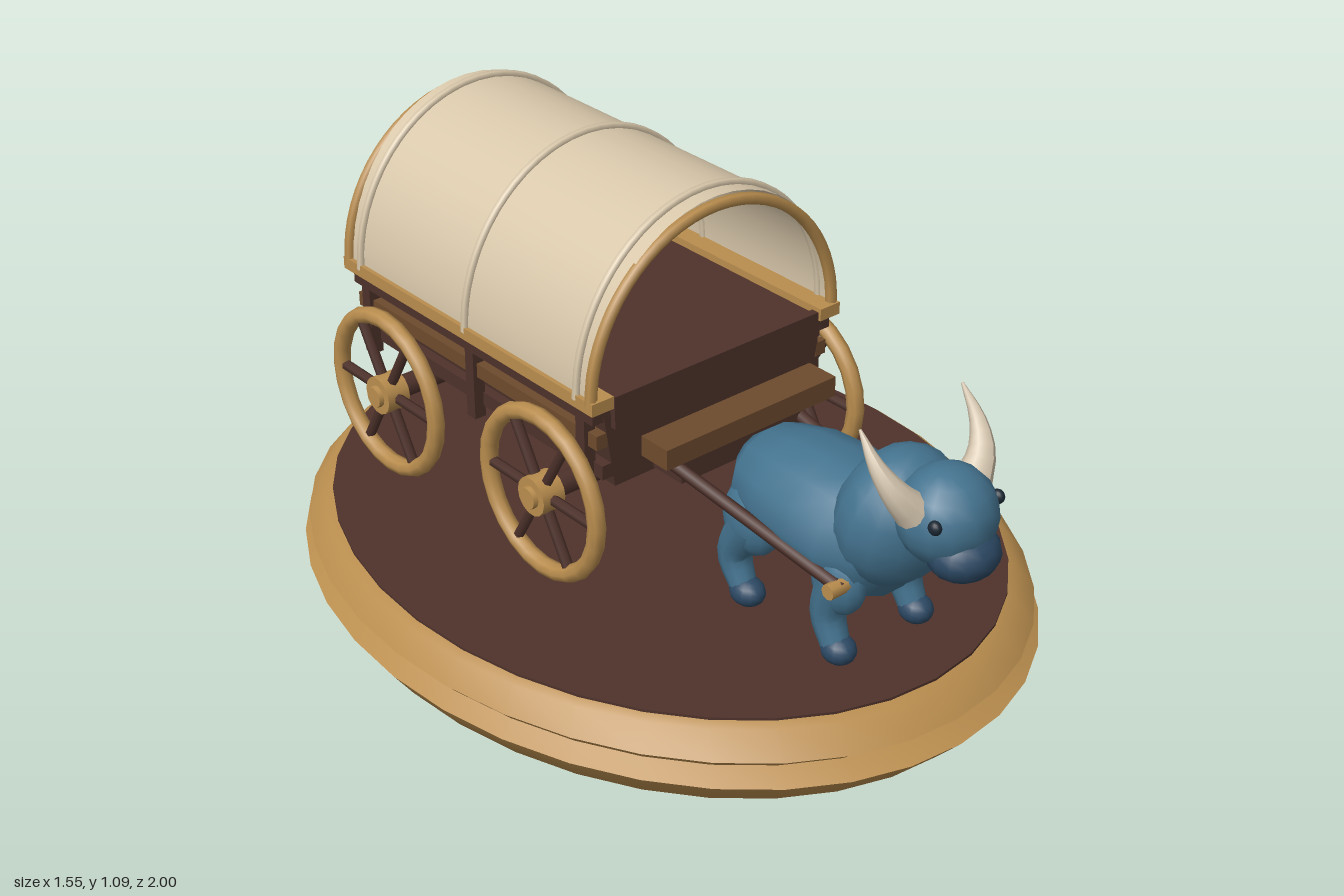
import * as THREE from 'three';
import { toCreasedNormals } from 'three/addons/utils/BufferGeometryUtils.js';

const V = (x, y, z) => new THREE.Vector3(x, y, z);

export function createModel() {
  const root = new THREE.Group();
  root.name = 'oxWagon';
  const mat = (name, color, side = THREE.FrontSide) => {
    const m = new THREE.MeshStandardMaterial({ color, side });
    m.name = name;
    return m;
  };
  const gold = mat('goldenWood', 0xb98d4e);
  const dark = mat('darkWood', 0x4e322b);
  const mid = mat('midWood', 0x6e4b2d);
  const cloth = mat('canvas', 0xd8c7aa, THREE.DoubleSide);
  const horn = mat('horn', 0xd4c5ae);
  const blue = mat('blueHide', 0x44738f);
  const navy = mat('darkBlue', 0x2c4964);
  const black = mat('eyeDark', 0x1b2733);

  const add = (name, geo, m, parent = root) => {
    const mesh = new THREE.Mesh(geo, m);
    mesh.name = name;
    parent.add(mesh);
    return mesh;
  };
  const box = (name, m, w, h, d, x, y, z, parent) =>
    add(name, new THREE.BoxGeometry(w, h, d).translate(x, y, z), m, parent);
  const ball = (name, m, rx, ry, rz, x, y, z, parent, tilt = 0) =>
    add(name, new THREE.SphereGeometry(1, 14, 10).scale(rx, ry, rz).rotateX(tilt).translate(x, y, z), m, parent);
  // straight round bar from a to b
  const rod = (name, m, a, b, r, parent, r2 = r, sides = 10) => {
    const dir = b.clone().sub(a);
    const geo = new THREE.CylinderGeometry(r2, r, dir.length(), sides);
    geo.applyQuaternion(new THREE.Quaternion().setFromUnitVectors(V(0, 1, 0), dir.normalize()));
    const c = a.clone().add(b).multiplyScalar(0.5);
    return add(name, geo.translate(c.x, c.y, c.z), m, parent);
  };
  // curved limb whose radius runs from r0 to r1
  const limb = (name, m, points, r0, r1, parent) => {
    const curve = new THREE.CatmullRomCurve3(points), n = 8, sides = 10;
    const geo = new THREE.TubeGeometry(curve, n, 1, sides);
    const p = geo.attributes.position, v = V(0, 0, 0);
    for (let i = 0; i < p.count; i++) {
      const t = Math.floor(i / (sides + 1)) / n, c = curve.getPointAt(t);
      v.fromBufferAttribute(p, i).sub(c).multiplyScalar(r0 + (r1 - r0) * t).add(c);
      p.setXYZ(i, v.x, v.y, v.z);
    }
    geo.computeVertexNormals();
    return add(name, geo, m, parent);
  };

  // oval plinth with a grooved edge
  const profile = [[0, 0.01], [0.68, 0.01], [0.725, 0.025], [0.775, 0.095], [0.735, 0.122],
    [0.763, 0.152], [0.725, 0.205], [0.69, 0.217], [0, 0.217]].map(p => new THREE.Vector2(...p));
  const plinth = new THREE.LatheGeometry(profile, 36).scale(1, 1, 1.262).translate(0, 0, -0.02);
  add('plinth', toCreasedNormals(plinth, 0.7), gold);
  add('ground', new THREE.CylinderGeometry(0.706, 0.706, 0.006, 36).scale(1, 1, 1.268).translate(0, 0.217, -0.02), dark);

  // wagon bed, flaring towards the top
  const wagon = new THREE.Group();
  wagon.name = 'wagon';
  root.add(wagon);
  const bed = new THREE.Shape([[-0.29, 0.48], [0.29, 0.48], [0.325, 0.70], [-0.325, 0.70]].map(p => new THREE.Vector2(...p)));
  add('bed', new THREE.ExtrudeGeometry(bed, { depth: 0.9, bevelEnabled: false }).translate(0, 0, -0.735), dark, wagon);
  box('frontBoard', dark, 0.6, 0.08, 0.02, 0, 0.672, 0.17, wagon);
  for (const s of [-1, 1]) {
    box('topRail', gold, 0.06, 0.03, 0.935, s * 0.335, 0.703, -0.285, wagon);
    box('upperPlank', dark, 0.03, 0.035, 0.9, s * 0.335, 0.67, -0.285, wagon);
    box('sidePlank', mid, 0.03, 0.035, 0.9, s * 0.325, 0.605, -0.285, wagon);
    box('lowerPlank', dark, 0.03, 0.035, 0.9, s * 0.31, 0.525, -0.285, wagon);
    for (const z of [0.12, -0.28, -0.69])
      box('sidePost', dark, 0.03, 0.21, 0.03, s * 0.335, 0.585, z, wagon);
  }

  // driver's bench
  box('benchSeat', mid, 0.5, 0.05, 0.085, 0, 0.586, 0.25, wagon);
  box('benchSupport', dark, 0.36, 0.08, 0.1, 0, 0.525, 0.21, wagon);

  // canvas cover, open at both ends
  const cover = new THREE.CylinderGeometry(1, 1, 0.9, 24, 1, true, Math.PI / 2, Math.PI)
    .rotateX(Math.PI / 2).scale(0.355, 0.385, 1).translate(0, 0.705, -0.285);
  add('canvasCover', cover, cloth, wagon);
  const hoop = (name, m, z, a, b, r) => {
    const pts = [];
    for (let i = 0; i <= 16; i++) {
      const t = Math.PI * i / 16;
      pts.push(V(a * Math.cos(t), 0.705 + b * Math.sin(t), z));
    }
    add(name, new THREE.TubeGeometry(new THREE.CatmullRomCurve3(pts), 32, r, 6), m, wagon);
  };
  for (const z of [0.165, -0.74]) hoop('endHoop', gold, z, 0.355, 0.364, 0.014);
  for (const z of [0.12, -0.28, -0.69]) hoop('coverRib', cloth, z, 0.358, 0.388, 0.01);

  // axles, struts and spoked wheels
  for (const z of [0.03, -0.56]) {
    rod('axle', dark, V(-0.38, 0.44, z), V(0.38, 0.44, z), 0.028, wagon);
    box('axleBlock', dark, 0.3, 0.07, 0.08, 0, 0.465, z, wagon);
    for (const s of [-1, 1]) {
      rod('axleStrut', dark, V(s * 0.23, 0.44, z), V(s * 0.17, 0.53, z + 0.05), 0.018, wagon);
      const wheel = new THREE.Group();
      wheel.name = 'wheel';
      wheel.position.set(s * 0.39, 0.44, z);
      wagon.add(wheel);
      add('rim', new THREE.TorusGeometry(0.193, 0.021, 8, 24).rotateY(Math.PI / 2), gold, wheel);
      rod('hub', gold, V(-0.03, 0, 0), V(0.03, 0, 0), 0.047, wheel, 0.047, 14);
      rod('hubCap', gold, V(0, 0, 0), V(s * 0.042, 0, 0), 0.03, wheel, 0.026, 12);
      for (let i = 0; i < 6; i++) {
        const a = i * Math.PI / 3;
        rod('spoke', dark, V(0, 0, 0), V(0, 0.19 * Math.sin(a), 0.19 * Math.cos(a)), 0.013, wheel, 0.013, 6);
      }
    }
  }

  // pulling shafts with golden pegs
  for (const s of [-1, 1]) {
    rod('shaft', dark, V(s * 0.185, 0.535, 0.17), V(s * 0.148, 0.437, 0.73), 0.015, wagon, 0.015, 8);
    rod('shaftPeg', gold, V(s * 0.09, 0.437, 0.72), V(s * 0.18, 0.437, 0.72), 0.018, wagon, 0.018, 8);
  }

  // ox trunk: rings of [z, centre y, half width, half height]
  const ox = new THREE.Group();
  ox.name = 'ox';
  root.add(ox);
  const rings = [[0.3, 0.5, 0.001, 0.001], [0.31, 0.505, 0.07, 0.065], [0.36, 0.505, 0.125, 0.105], [0.45, 0.503, 0.157, 0.127],
    [0.56, 0.497, 0.166, 0.14], [0.65, 0.485, 0.16, 0.143], [0.74, 0.49, 0.135, 0.12], [0.8, 0.5, 0.001, 0.001]];
  const N = 14, pos = [], idx = [];
  rings.forEach(([z, y, w, h], k) => {
    for (let i = 0; i < N; i++) {
      const t = 2 * Math.PI * i / N, a = k * N + i, b = k * N + (i + 1) % N;
      pos.push(w * Math.cos(t), y + h * Math.sin(t), z);
      if (k < rings.length - 1) idx.push(a, b, a + N, b, b + N, a + N);
    }
  });
  const trunk = new THREE.BufferGeometry();
  trunk.setAttribute('position', new THREE.Float32BufferAttribute(pos, 3));
  trunk.setIndex(idx);
  trunk.computeVertexNormals();
  add('trunk', trunk, blue, ox);

  // shoulders, head and muzzle
  ball('shoulders', blue, 0.15, 0.165, 0.125, 0, 0.565, 0.74, ox, 0.2);
  ball('head', blue, 0.112, 0.11, 0.108, 0, 0.632, 0.872, ox);
  ball('muzzle', navy, 0.084, 0.06, 0.075, 0, 0.565, 0.925, ox);

  for (const s of [-1, 1]) {
    ball('eye', black, 0.013, 0.016, 0.016, s * 0.092, 0.66, 0.926, ox);
    limb('horn', horn, [V(s * 0.085, 0.665, 0.86), V(s * 0.125, 0.715, 0.845), V(s * 0.146, 0.77, 0.81), V(s * 0.147, 0.835, 0.76)],
      0.042, 0.003, ox);
    // front leg
    ball('frontThigh', blue, 0.05, 0.085, 0.07, s * 0.105, 0.42, 0.68, ox);
    limb('frontLeg', blue, [V(s * 0.112, 0.42, 0.68), V(s * 0.115, 0.33, 0.66), V(s * 0.117, 0.255, 0.69)], 0.048, 0.032, ox);
    ball('frontHoof', navy, 0.038, 0.034, 0.042, s * 0.117, 0.254, 0.698, ox);
    // hind leg
    ball('haunch', blue, 0.052, 0.09, 0.08, s * 0.105, 0.44, 0.41, ox);
    limb('hindLeg', blue, [V(s * 0.112, 0.43, 0.41), V(s * 0.115, 0.335, 0.365), V(s * 0.117, 0.255, 0.4)], 0.052, 0.03, ox);
    ball('hindHoof', navy, 0.038, 0.034, 0.045, s * 0.117, 0.254, 0.41, ox);
  }

  // tail
  limb('tail', navy, [V(0, 0.52, 0.33), V(0, 0.5, 0.285), V(0, 0.44, 0.27), V(0, 0.38, 0.315)], 0.016, 0.018, ox);

  return root;
}
